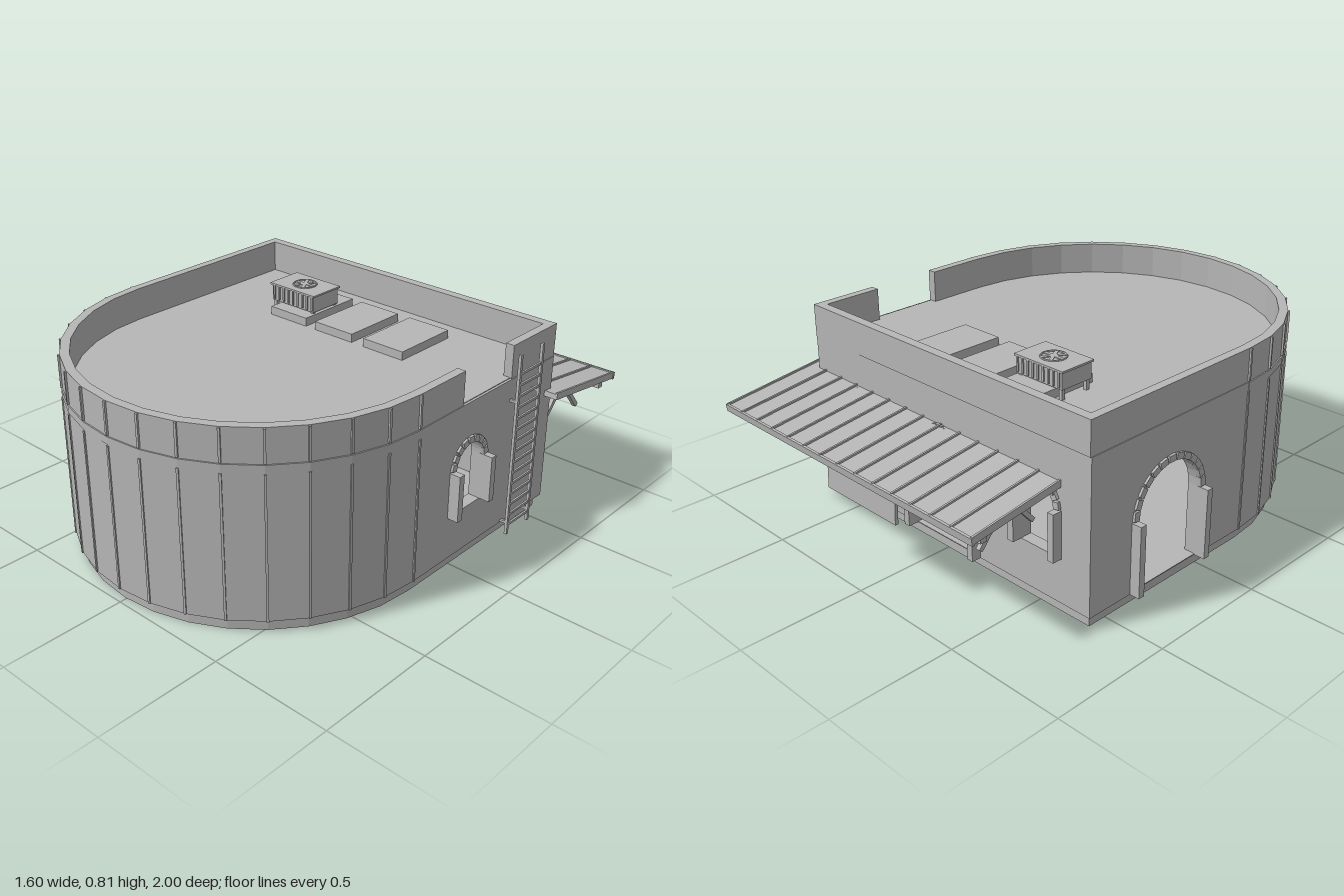
import * as THREE from 'three';

const CX = -0.0075, R = 0.75, ZC = 0.24, BACK = -0.6, SEG = 16;
const FLOOR = 0.05, EAVE = 0.67, TOP = 0.805, T = 0.05;

export function createModel() {
  const model = new THREE.Group();
  const grey = new THREE.MeshStandardMaterial({ color: 0xb6b6b6, flatShading: true });
  grey.name = 'plain grey';

  function add(geo, name, parent = model) {
    const m = new THREE.Mesh(geo, grey);
    m.name = name;
    parent.add(m);
    return m;
  }
  function box(name, x0, x1, y0, y1, z0, z1, parent = model) {
    const m = add(new THREE.BoxGeometry(x1 - x0, y1 - y0, z1 - z0), name, parent);
    m.position.set((x0 + x1) / 2, (y0 + y1) / 2, (z0 + z1) / 2);
    return m;
  }
  // square bar between two points
  function bar(name, a, b, w, parent = model) {
    const p = new THREE.Vector3(...a), q = new THREE.Vector3(...b);
    const m = add(new THREE.BoxGeometry(w, w, p.distanceTo(q)), name, parent);
    m.position.copy(p).lerp(q, 0.5);
    m.lookAt(q);
    return m;
  }
  // points of the rounded front, from +x to -x, in plan (x, -z)
  const arc = (r) => Array.from({ length: SEG + 1 }, (_, i) => {
    const a = Math.PI * i / SEG;
    return new THREE.Vector2(CX + r * Math.cos(a), -ZC - r * Math.sin(a));
  });
  // extrude a plan outline upward
  function plan(name, pts, y0, y1) {
    const g = new THREE.ExtrudeGeometry(new THREE.Shape(pts), { depth: y1 - y0, bevelEnabled: false });
    g.rotateX(-Math.PI / 2);
    g.translate(0, y0, 0);
    return add(g, name);
  }
  const slab = (name, inset, y0, y1) => plan(name, [
    ...arc(R - inset),
    new THREE.Vector2(CX - R + inset, -BACK - inset),
    new THREE.Vector2(CX + R - inset, -BACK - inset)], y0, y1);
  const curve = (name, inset, t, y0, y1) =>
    plan(name, [...arc(R - inset), ...arc(R - inset - t).reverse()], y0, y1);

  // plinth, floor and roof
  slab('plinth', 0.02, 0, FLOOR);
  slab('floor', 0.004, FLOOR, FLOOR + 0.004);
  slab('roof', 0.01, EAVE - 0.03, EAVE + 0.003);

  // rounded front wall, band and parapet
  curve('frontWall', 0, T, FLOOR, 0.64);
  curve('frontBand', -0.002, T, 0.64, EAVE);
  curve('frontParapet', 0.003, 0.036, EAVE, TOP);

  // vertical seams at the corners of the facets
  for (let i = 0; i <= SEG; i++) {
    const a = Math.PI * i / SEG;
    for (const [y0, y1] of [[FLOOR, 0.635], [EAVE + 0.005, TOP - 0.002]]) {
      const s = add(new THREE.BoxGeometry(0.009, y1 - y0, 0.009), 'wallSeam');
      s.position.set(CX + R * Math.cos(a), (y0 + y1) / 2, ZC + R * Math.sin(a));
      s.rotation.y = Math.PI / 2 - a;
    }
  }

  // flat wall with arched openings; opening: c centre, r half width, sill, spring
  function wall(name, u0, u1, openings) {
    const g = new THREE.Group();
    g.name = name;
    const shape = new THREE.Shape();
    shape.moveTo(u0, FLOOR);
    for (const o of openings) {
      if (o.sill > FLOOR) {
        const hole = new THREE.Path();
        hole.moveTo(o.c - o.r, o.sill);
        hole.lineTo(o.c + o.r, o.sill);
        hole.absarc(o.c, o.spring, o.r, 0, Math.PI, false);
        hole.closePath();
        shape.holes.push(hole);
      } else {
        shape.lineTo(o.c - o.r, FLOOR);
        shape.absarc(o.c, o.spring, o.r, Math.PI, 0, true);
        shape.lineTo(o.c + o.r, FLOOR);
      }
    }
    shape.lineTo(u1, FLOOR);
    shape.lineTo(u1, EAVE);
    shape.lineTo(u0, EAVE);
    add(new THREE.ExtrudeGeometry(shape, { depth: T, bevelEnabled: false, curveSegments: 8 }), name + 'Panel', g);
    model.add(g);
    return g;
  }
  // jambs and arch stones; z0..z1 jamb depth, s0..s1 stone depth
  function trim(parent, openings, z0, z1, s0, s1) {
    for (const o of openings) {
      for (const s of [-1, 1]) {
        const u = o.c + s * (o.r + 0.013);
        box('jamb', u - 0.014, u + 0.014, o.sill, o.jamb, z0, z1, parent);
      }
      const n = o.r > 0.12 ? 13 : 9;
      for (let i = 0; i < n; i++) {
        const a = Math.PI * (i + 0.5) / n, rr = o.r + 0.011;
        const st = add(new THREE.BoxGeometry(0.026, Math.PI * o.r / n * 0.92, s1 - s0), 'archStone', parent);
        st.position.set(o.c + rr * Math.cos(a), o.spring + rr * Math.sin(a), (s0 + s1) / 2);
        st.rotation.z = a;
      }
    }
  }
  const win = (c) => ({ c, r: 0.086, sill: 0.23, spring: 0.42, jamb: 0.42 });
  const door = (c, jamb) => ({ c, r: 0.17, sill: FLOOR, spring: 0.34, jamb });

  const backOpen = [win(-0.51), door(CX, 0.42), win(0.49)];
  const backWall = wall('backWall', CX - R + T, CX + R - T, backOpen);
  backWall.position.z = BACK;
  trim(backWall, backOpen, -0.04, 0.01, -0.012, 0.01);

  // side walls: local x runs toward -z
  const rightOpen = [win(0.065)];
  const sideA = wall('windowWall', -ZC, -BACK, rightOpen);
  sideA.rotation.y = Math.PI / 2;
  sideA.position.x = CX + R - T;
  trim(sideA, rightOpen, T - 0.01, T + 0.045, T - 0.01, T + 0.01);

  const leftOpen = [door(0.195, 0.34)];
  const sideB = wall('doorWall', -ZC, -BACK, leftOpen);
  sideB.rotation.y = Math.PI / 2;
  sideB.position.x = CX - R;
  trim(sideB, leftOpen, -0.042, 0.01, -0.01, 0.01);

  // straight parapets, with a gap beside the ladder
  const xl = CX - R + 0.003, xr = CX + R - 0.003, pt = 0.036;
  box('backParapet', xl, xr, EAVE, TOP, BACK - 0.003, BACK + pt);
  box('sideParapet', xl, xl + pt, EAVE, TOP, BACK + pt, ZC);
  box('sideParapetFront', xr - pt, xr, EAVE, TOP, -0.015, ZC);
  box('sideParapetRear', xr - pt, xr, EAVE, TOP, BACK + pt, -0.315);

  // roof hatches
  for (const x of [-0.355, -0.11, 0.145]) box('roofHatch', x, x + 0.195, EAVE, 0.708, -0.457, -0.165);

  // cooling unit with slats, feet and fan
  const unit = new THREE.Group();
  unit.name = 'coolingUnit';
  model.add(unit);
  box('unitBody', -0.395, -0.165, 0.715, 0.787, -0.365, -0.215, unit);
  box('unitLid', -0.402, -0.158, 0.782, 0.79, -0.371, -0.209, unit);
  for (let i = 0; i < 9; i++) {
    const x = -0.385 + i * 0.026;
    for (const z of [-0.37, -0.215]) box('unitSlat', x, x + 0.008, 0.722, 0.782, z, z + 0.005, unit);
  }
  for (const x of [-0.39, -0.185]) for (const z of [-0.36, -0.235])
    box('unitFoot', x, x + 0.015, EAVE, 0.716, z, z + 0.015, unit);
  const ring = add(new THREE.TorusGeometry(0.048, 0.004, 6, 24), 'fanRing', unit);
  ring.rotation.x = Math.PI / 2;
  ring.position.set(-0.28, 0.791, -0.29);
  for (let i = 0; i < 3; i++) {
    const b = add(new THREE.BoxGeometry(0.09, 0.003, 0.014), 'fanBlade', unit);
    b.position.set(-0.28, 0.792, -0.29);
    b.rotation.y = i * Math.PI / 3;
  }

  // ladder
  const ladder = new THREE.Group();
  ladder.name = 'ladder';
  model.add(ladder);
  for (const z of [-0.312, -0.456]) {
    box('ladderRail', 0.768, 0.78, 0.01, 0.78, z - 0.006, z + 0.006, ladder);
    for (const y of [0.06, 0.585]) box('ladderMount', 0.735, 0.772, y - 0.005, y + 0.005, z - 0.005, z + 0.005, ladder);
  }
  for (let i = 0; i < 15; i++) {
    const y = 0.05 + i * 0.0464;
    box('ladderRung', 0.77, 0.778, y - 0.005, y + 0.005, -0.456, -0.312, ladder);
  }

  // sloping awning with standing seams
  const awning = new THREE.Group();
  awning.name = 'awning';
  awning.position.set(0.09, 0.497, -0.775);
  awning.rotation.x = -0.133;
  model.add(awning);
  box('awningSheet', -0.71, 0.71, -0.011, 0.011, -0.222, 0.222, awning);
  box('awningLip', -0.712, 0.712, -0.014, 0.016, -0.227, -0.217, awning);
  for (let i = 0; i < 15; i++) {
    const x = -0.706 + i * 0.1009;
    box('awningSeam', x - 0.004, x + 0.004, 0.01, 0.018, -0.222, 0.222, awning);
  }

  // awning beams and braces
  box('wallBeam', -0.6, 0.73, 0.478, 0.512, -0.62, -0.595);
  box('outerBeam', -0.6, 0.78, 0.43, 0.46, -0.945, -0.918);
  for (const x of [-0.52, 0.7]) {
    bar('brace', [x, 0.362, -0.638], [x, 0.462, -0.728], 0.018);
    bar('brace', [x, 0.455, -0.788], [x, 0.345, -0.882], 0.018);
  }

  // hanging board
  const board = box('hangingBoard', -0.185, 0.2, 0.335, 0.425, -0.963, -0.95);
  board.rotation.x = 0.04;
  for (const x of [-0.14, 0.155]) bar('boardHanger', [x, 0.415, -0.956], [x, 0.47, -0.95], 0.008);

  return model;
}
